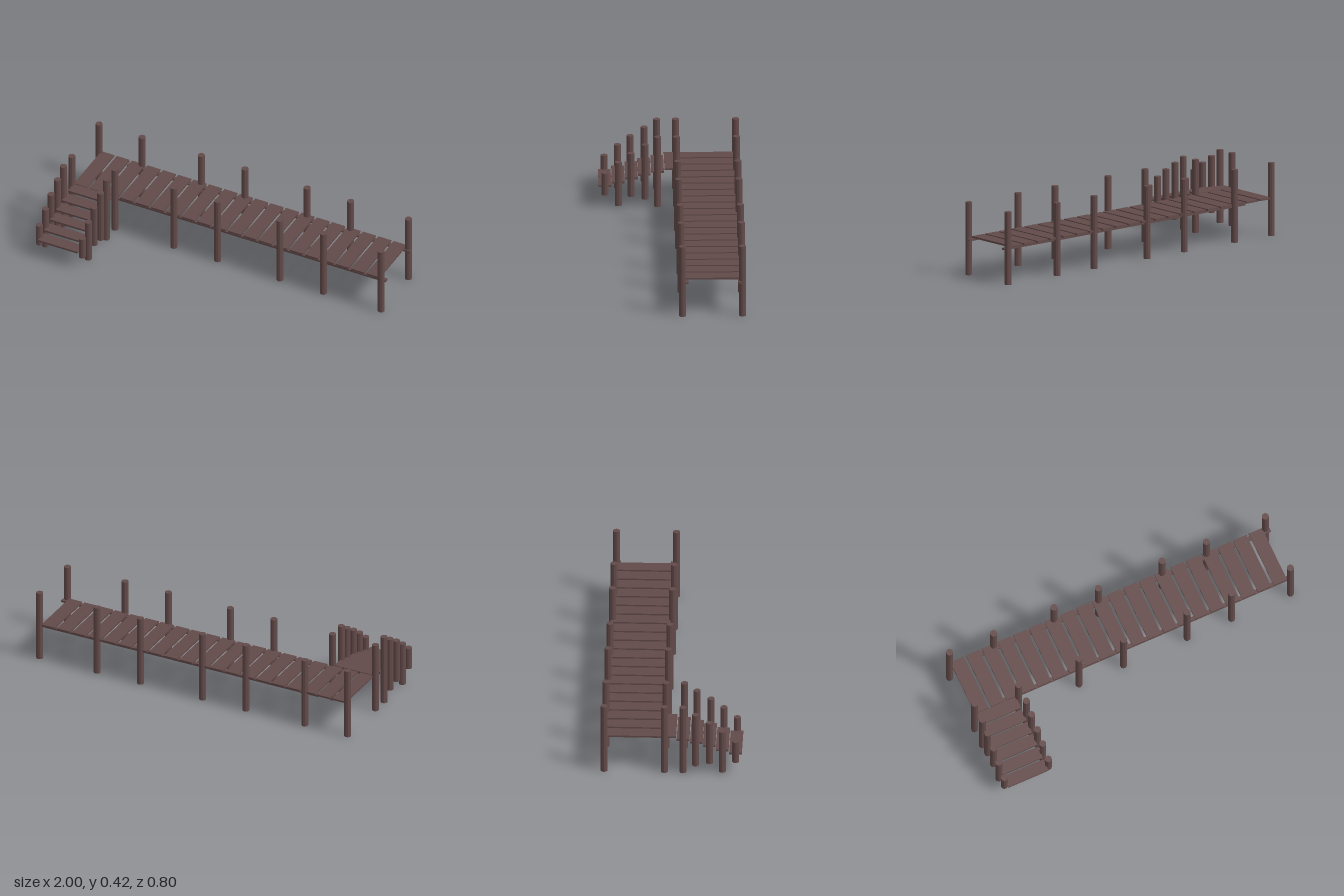
import * as THREE from 'three';

export function createModel() {
  const model = new THREE.Group();
  model.name = 'boardwalk';
  const wood = new THREE.MeshStandardMaterial({ color: 0x624a49, flatShading: true });
  wood.name = 'dark brown wood';

  // Box given by its limits on each axis
  function beam(name, [x0, x1], [y0, y1], [z0, z1]) {
    const mesh = new THREE.Mesh(new THREE.BoxGeometry(x1 - x0, y1 - y0, z1 - z0), wood);
    mesh.position.set((x0 + x1) / 2, (y0 + y1) / 2, (z0 + z1) / 2);
    mesh.name = name;
    model.add(mesh);
  }

  // Round post from y0 to y1
  function post(name, x, z, y0, y1) {
    const mesh = new THREE.Mesh(new THREE.CylinderGeometry(0.0197, 0.0197, y1 - y0, 12), wood);
    mesh.position.set(x, (y0 + y1) / 2, z);
    mesh.name = name;
    model.add(mesh);
  }

  // Deck posts along both edges
  for (const x of [-0.98, -0.708, -0.334, -0.058, 0.336, 0.611, 0.976]) {
    post('backPost', x, -0.377, 0, 0.42);
    post('frontPost', x, -0.038, 0, 0.42);
  }

  // Rails carrying the deck
  beam('backRail', [-0.79, 1], [0.2, 0.2115], [-0.376, -0.352]);
  beam('frontRail', [-0.79, 1], [0.2, 0.2115], [-0.071, -0.047]);

  // Deck planks
  for (let i = 0; i < 20; i++) {
    const x = -0.93 + i * 0.0973;
    beam('deckPlank', [x - 0.041, x + 0.041], [0.2115, 0.222], [-0.387, -0.048]);
  }

  // Landing and steps: z centre and underside of each board
  const steps = [[-0.008, 0.2115], [0.067, 0.194], [0.142, 0.178], [0.214, 0.157], [0.288, 0.132], [0.363, 0.112]];
  for (const [z, y] of steps) {
    beam('stepBoard', [-0.971, -0.722], [y, y + 0.011], [z - 0.0355, z + 0.0355]);
  }

  // Pairs of step posts: z, bottom, top
  const stepPosts = [[0.067, 0, 0.42], [0.138, 0.046, 0.373], [0.217, 0.063, 0.322], [0.289, 0.008, 0.268], [0.364, 0.073, 0.204]];
  for (const [z, y0, y1] of stepPosts) {
    for (const x of [-0.98, -0.708]) post('stepPost', x, z, y0, y1);
  }

  return model;
}
